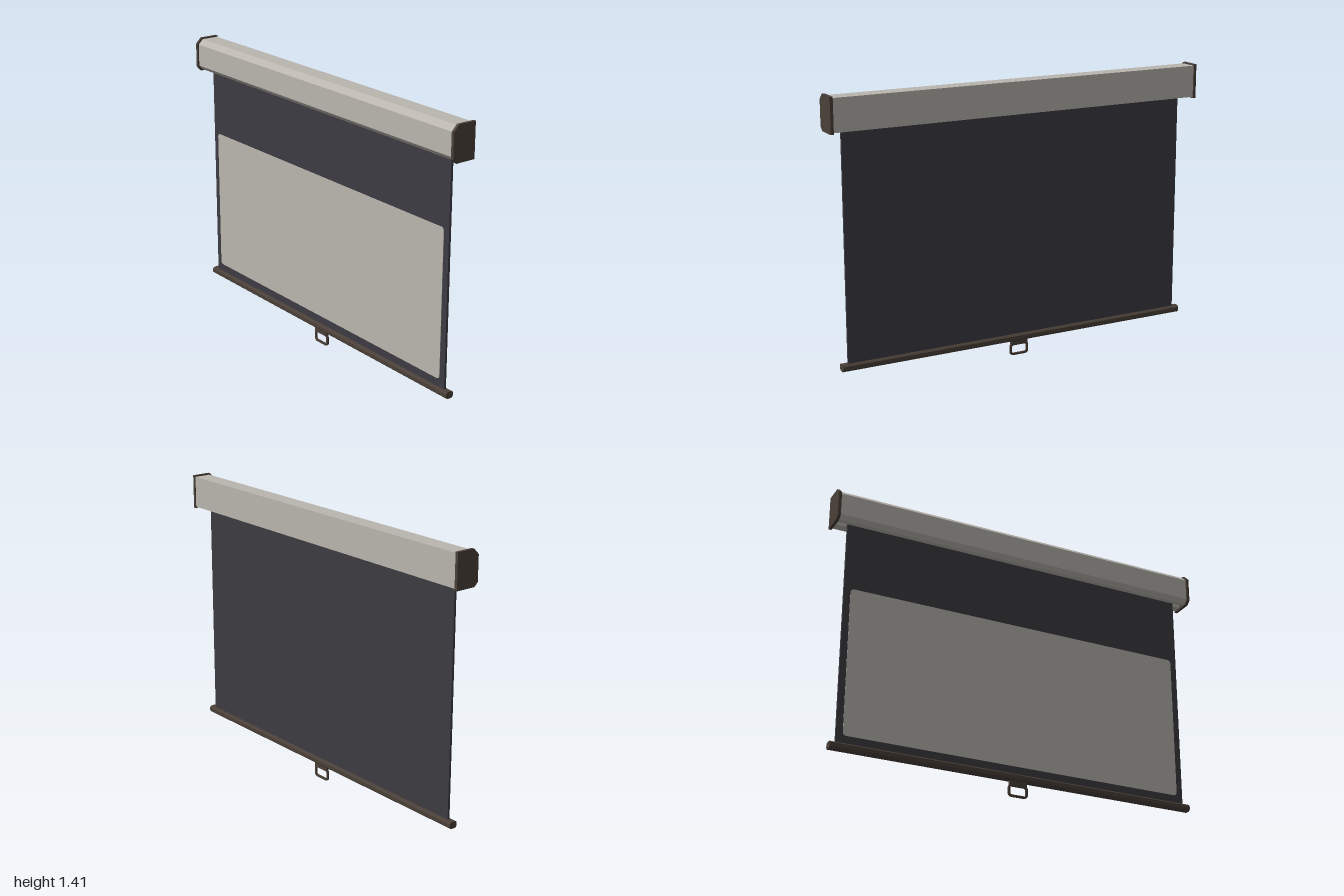
import * as THREE from 'three';

const material = (name, color) => {
  const m = new THREE.MeshStandardMaterial({ color });
  m.name = name;
  return m;
};

// Extrudes a [z, y] outline along x, between x0 and x1
function alongX(points, x0, x1) {
  const shape = new THREE.Shape(points.map(([z, y]) => new THREE.Vector2(-z, y)));
  const g = new THREE.ExtrudeGeometry(shape, { depth: x1 - x0, bevelEnabled: false });
  return g.rotateY(Math.PI / 2).translate(x0, 0, 0);
}

// Traces a rounded rectangle on a shape or a hole path
function roundedRect(path, w, y0, y1, r) {
  path.moveTo(-w + r, y0);
  path.lineTo(w - r, y0);
  path.absarc(w - r, y0 + r, r, -Math.PI / 2, 0);
  path.lineTo(w, y1 - r);
  path.absarc(w - r, y1 - r, r, 0, Math.PI / 2);
  path.lineTo(-w + r, y1);
  path.absarc(-w + r, y1 - r, r, Math.PI / 2, Math.PI);
  path.lineTo(-w, y0 + r);
  path.absarc(-w + r, y0 + r, r, Math.PI, Math.PI * 1.5);
  return path;
}

export function createModel() {
  const group = new THREE.Group();
  const paleGrey = material('paleGrey', 0xbab6af);
  const charcoal = material('charcoal', 0x3d3c42);
  const darkBrown = material('darkBrown', 0x4b4039);

  const add = (name, geometry, mat, x = 0, y = 0, z = 0) => {
    const mesh = new THREE.Mesh(geometry, mat);
    mesh.name = name;
    mesh.position.set(x, y, z);
    group.add(mesh);
  };

  // Long case with chamfered front edges and a slot underneath
  add('housing', alongX([
    [-0.059, 1.247], [-0.012, 1.247], [-0.012, 1.28], [0.012, 1.28], [0.012, 1.247],
    [0.037, 1.247], [0.056, 1.268], [0.056, 1.382], [0.03, 1.408], [-0.059, 1.408],
  ], -0.986, 0.986), paleGrey);

  // End caps, slightly larger than the case
  const cap = [
    [-0.063, 1.24], [0.043, 1.24], [0.063, 1.26],
    [0.063, 1.386], [0.034, 1.415], [-0.063, 1.415],
  ];
  add('rightEndCap', alongX(cap, -1, -0.985), darkBrown);
  add('leftEndCap', alongX(cap, 0.985, 1), darkBrown);

  // Hanging fabric and the viewing area on its front
  add('fabric', new THREE.BoxGeometry(1.856, 1.18, 0.012), charcoal, 0, 0.69, 0);
  const area = roundedRect(new THREE.Shape(), 0.895, 0.153, 0.905, 0.018);
  add('viewingArea', new THREE.ExtrudeGeometry(area, { depth: 0.002, bevelEnabled: false, curveSegments: 6 }),
    paleGrey, 0, 0, 0.006);

  // Weighted bottom bar
  add('bottomBar', alongX([
    [-0.013, 0.078], [0.013, 0.078], [0.022, 0.087], [0.022, 0.105],
    [0.013, 0.113], [-0.013, 0.113], [-0.022, 0.105], [-0.022, 0.087],
  ], -0.96, 0.96), darkBrown);

  // Pull handle: mounting tab and rounded loop
  add('handleMount', new THREE.BoxGeometry(0.09, 0.026, 0.016), darkBrown, 0, 0.068, 0);
  const loop = roundedRect(new THREE.Shape(), 0.052, 0, 0.062, 0.018);
  loop.holes.push(roundedRect(new THREE.Path(), 0.042, 0.01, 0.052, 0.01));
  add('handleLoop', new THREE.ExtrudeGeometry(loop, { depth: 0.01, bevelEnabled: false, curveSegments: 6 }),
    darkBrown, 0, 0, -0.005);

  return group;
}
